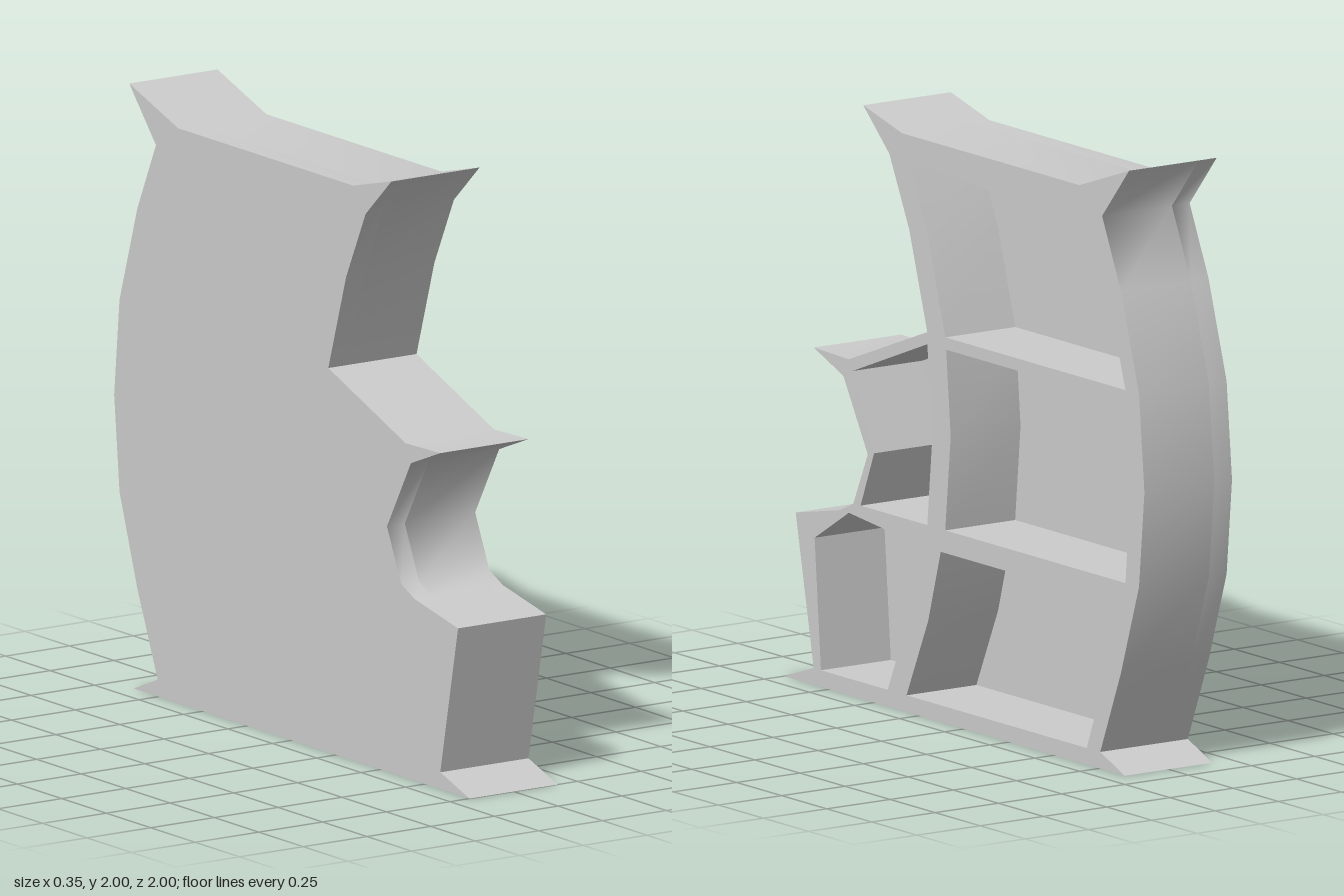
import * as THREE from 'three';
import { toCreasedNormals } from 'three/addons/utils/BufferGeometryUtils.js';

// Profiles as [z, y] points
const OUTLINE = [
  [-0.89, 0], [-0.755, 0.055], [-0.87, 0.335], [-0.97, 0.635], [-1, 0.95], [-0.97, 1.27],
  [-0.87, 1.59], [-0.765, 1.82], [-0.915, 1.995], [-0.64, 1.9], [0.345, 1.9],
  [0.56, 1.955], [0.415, 1.82], [0.305, 1.59], [0.205, 1.27], [0.64, 1.105], [0.835, 1.11],
  [0.67, 1.045], [0.535, 0.81], [0.615, 0.635], [0.69, 0.6], [0.935, 0.55],
  [0.835, 0.055], [1, 0],
];
const COMPARTMENTS = [
  // top
  [[0.31, 1.825], [-0.39, 1.78], [-0.79, 1.59], [-0.895, 1.27], [0.105, 1.27], [0.2, 1.58]],
  // middle, back and front
  [[0.1, 1.23], [-0.9, 1.23], [-0.92, 0.95], [-0.895, 0.635], [0.105, 0.635], [0.075, 0.95]],
  [[0.62, 1.07], [0.205, 1.23], [0.175, 0.95], [0.205, 0.635], [0.575, 0.635], [0.5, 0.82]],
  // bottom, back and front
  [[0.13, 0.56], [-0.87, 0.56], [-0.785, 0.32], [-0.68, 0.055], [0.32, 0.055], [0.2, 0.32]],
  [[0.64, 0.6], [0.235, 0.56], [0.305, 0.32], [0.425, 0.055], [0.795, 0.055], [0.83, 0.485]],
];
const CLOSED_SIDE = -0.173, PANEL = -0.103, OPEN_SIDE = 0.173;

const toPoints = (list) => list.map(([z, y]) => new THREE.Vector2(-z, y));

// Extrude the profile sideways from x0 to x1
function slab(x0, x1, holes) {
  const shape = new THREE.Shape(toPoints(OUTLINE));
  shape.holes = holes.map((h) => new THREE.Path(toPoints(h)));
  const geo = new THREE.ExtrudeGeometry(shape, { depth: x1 - x0, bevelEnabled: false });
  geo.rotateY(Math.PI / 2).translate(x0, 0, 0);

  // Soft outer skin, crisp compartment corners
  const soft = toCreasedNormals(geo.clone(), 1.4);
  const crisp = toCreasedNormals(geo, 0.3);
  const key = (z, y) => `${Math.round(z * 1000)},${Math.round(y * 1000)}`;
  const inner = new Set(holes.flat().map(([z, y]) => key(z, y)));
  const p = soft.attributes.position, n = soft.attributes.normal, c = crisp.attributes.normal;
  for (let i = 0; i < p.count; i++) {
    if (inner.has(key(p.getZ(i), p.getY(i)))) n.setXYZ(i, c.getX(i), c.getY(i), c.getZ(i));
  }
  return soft;
}

export function createModel() {
  const group = new THREE.Group();
  group.name = 'curvedShelf';
  const material = new THREE.MeshStandardMaterial({ color: 0xcccccc });
  const add = (name, geometry) => {
    const mesh = new THREE.Mesh(geometry, material);
    mesh.name = name;
    group.add(mesh);
  };

  // Frame with compartments open towards +x
  add('shelfFrame', slab(PANEL, OPEN_SIDE, COMPARTMENTS));
  // Solid panel closing the other side
  add('backPanel', slab(CLOSED_SIDE, PANEL, []));
  return group;
}
